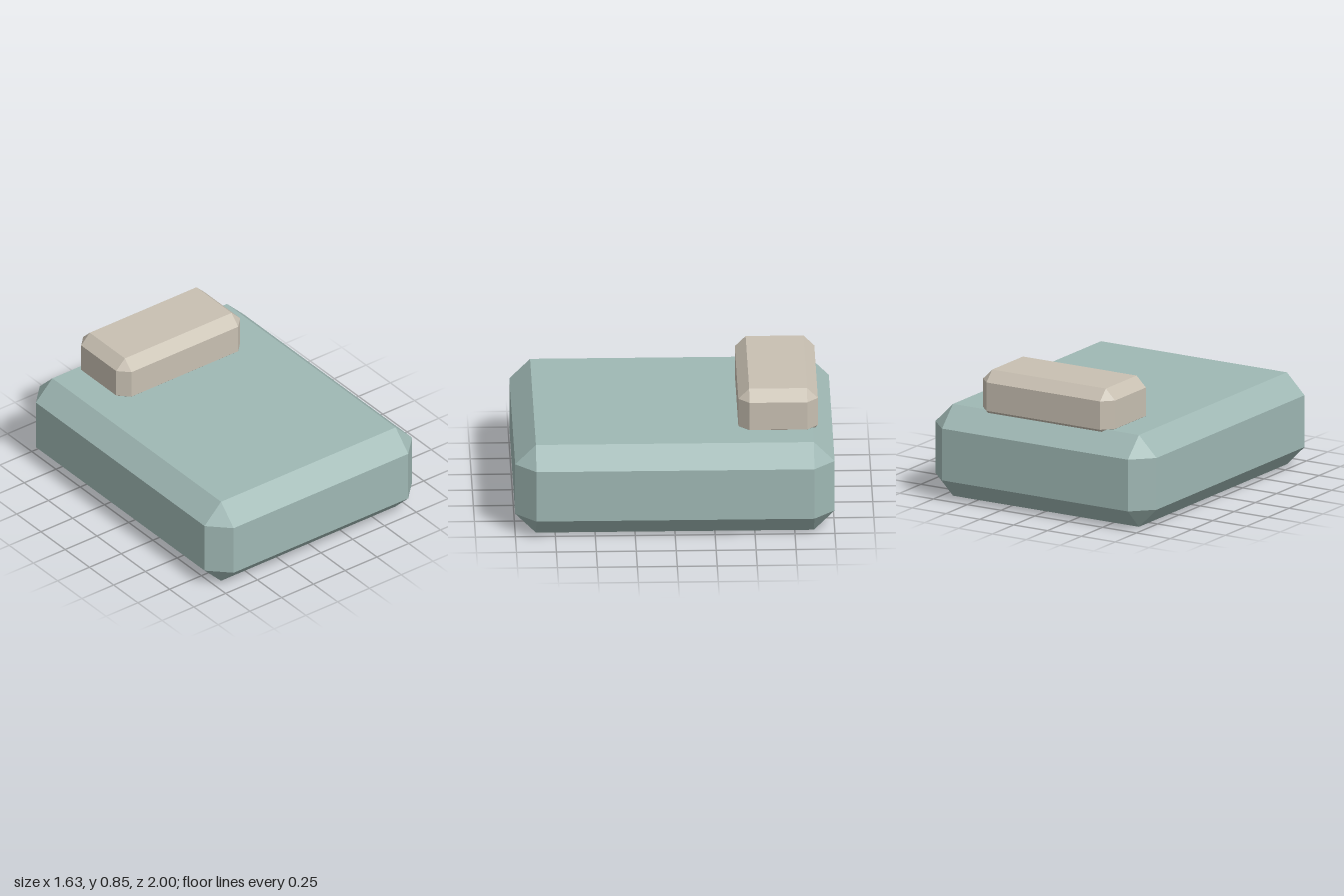
import * as THREE from 'three';
import { ConvexGeometry } from 'three/addons/geometries/ConvexGeometry.js';

// Box with every edge cut at 45 degrees and triangular corner facets
function chamferedBox(w, h, d, c) {
  const half = [w / 2, h / 2, d / 2];
  const points = [];
  for (const sx of [-1, 1]) for (const sy of [-1, 1]) for (const sz of [-1, 1]) {
    for (let axis = 0; axis < 3; axis++) {
      const [x, y, z] = half.map((v, i) => (i === axis ? v : v - c));
      points.push(new THREE.Vector3(sx * x, sy * y, sz * z));
    }
  }
  return new ConvexGeometry(points);
}

function part(name, geometry, material, y, z) {
  const mesh = new THREE.Mesh(geometry, material);
  mesh.name = name;
  mesh.position.set(0, y, z);
  return mesh;
}

export function createModel() {
  const sage = new THREE.MeshStandardMaterial({ color: 0x9fb8b4 });
  sage.name = 'sage green';
  const cream = new THREE.MeshStandardMaterial({ color: 0xc8c0b2 });
  cream.name = 'warm cream';

  const bed = new THREE.Group();
  bed.name = 'bed';
  // Thick mattress
  bed.add(part('mattress', chamferedBox(1.634, 0.596, 2, 0.13), sage, 0.298, 0));
  // Pillow, its underside sunk into the mattress
  bed.add(part('pillow', chamferedBox(0.976, 0.32, 0.498, 0.068), cream, 0.69, -0.653));
  return bed;
}
